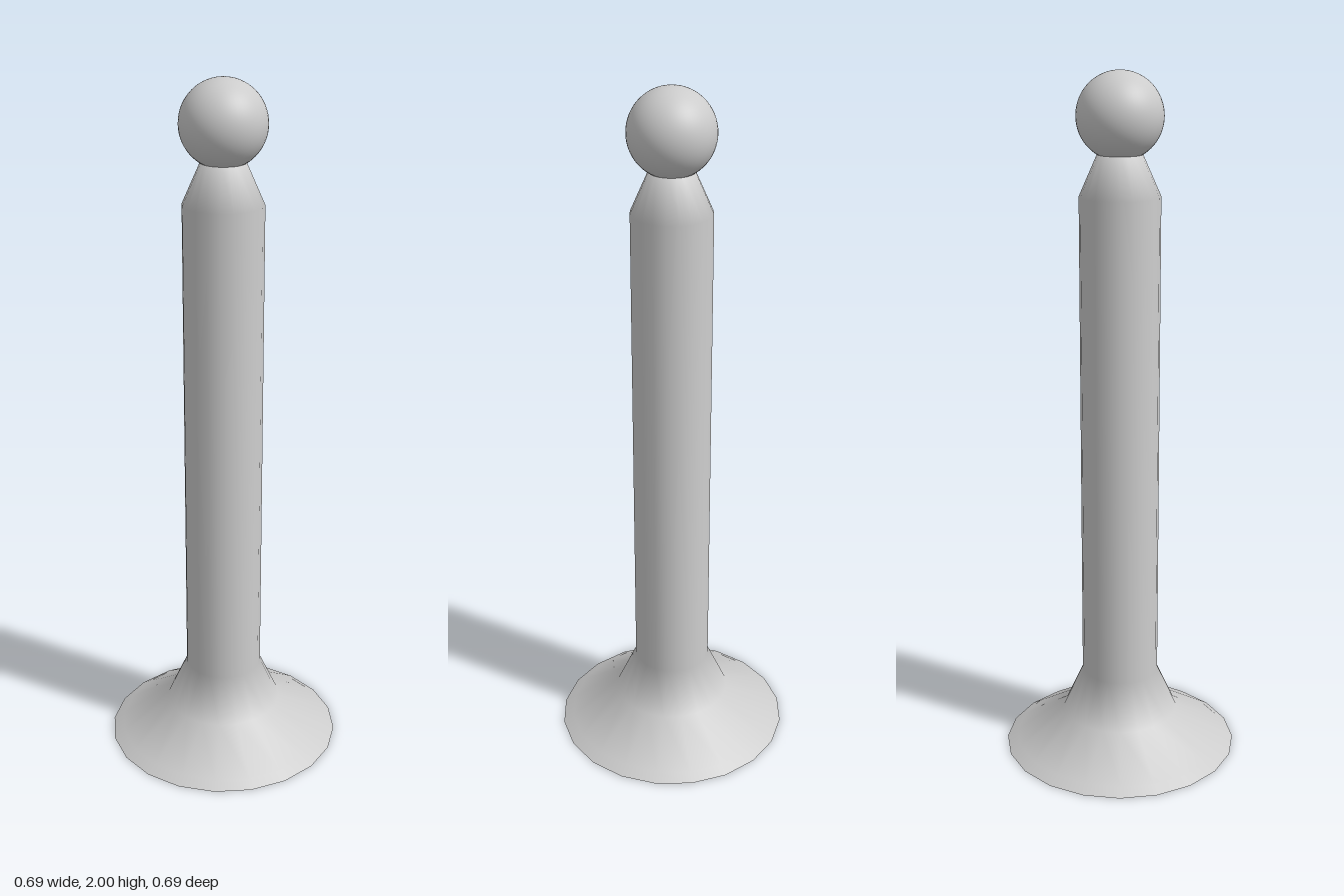
import * as THREE from 'three';

const SIDES = 20;

export function createModel() {
  const group = new THREE.Group();
  const material = new THREE.MeshStandardMaterial({ color: 0xcccccc, side: THREE.DoubleSide });

  const add = (name, geometry, y = 0) => {
    const mesh = new THREE.Mesh(geometry, material);
    mesh.name = name;
    mesh.position.y = y;
    group.add(mesh);
    return mesh;
  };
  const lathe = (points) =>
    new THREE.LatheGeometry(points.map(([r, y]) => new THREE.Vector2(r, y)), SIDES);

  // Flat underside and the narrow band around the rim
  add('baseUnderside', lathe([[0, 0], [0.347, 0]]));
  add('baseRim', lathe([[0.347, 0], [0.317, 0.019]]));

  // Flared foot, straight shaft and tapered neck in one smooth profile
  add('shaft', lathe([
    [0.317, 0.019], [0.172, 0.11], [0.113, 0.24],
    [0.113, 1.665], [0.062, 1.78], [0, 1.78],
  ]));

  // Ball on top
  add('ball', new THREE.SphereGeometry(0.12, 48, 32), 1.88);

  return group;
}
